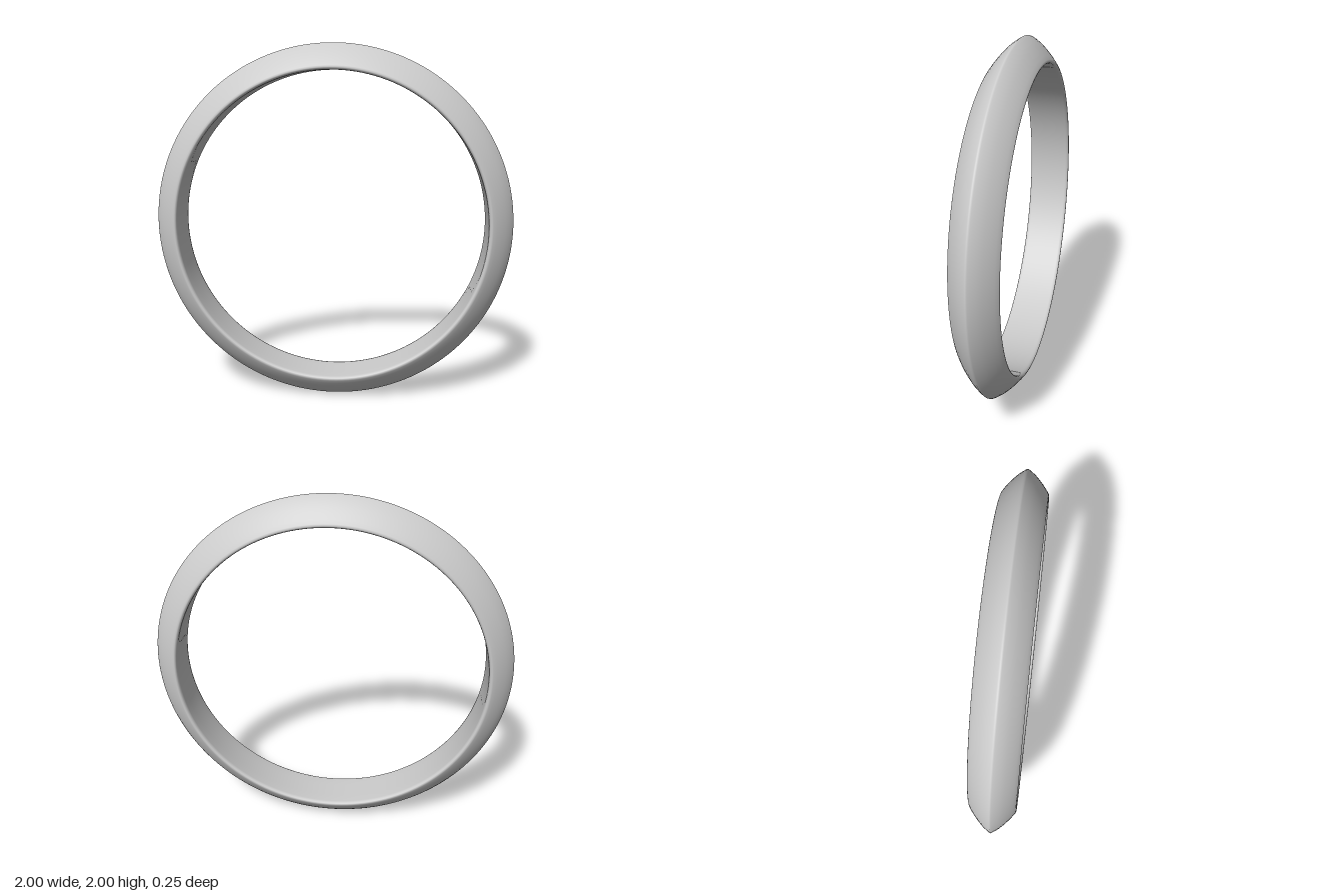
import * as THREE from 'three';

export function createModel() {
  const group = new THREE.Group();

  // Half of the band's cross-section (radius, depth), from the inner face to the outer ridge
  const half = [
    [0.857, 0], [0.857, 0.05], [0.857, 0.105], [0.859, 0.116], [0.864, 0.123],
    [0.871, 0.125], [0.88, 0.122], [0.9, 0.108], [0.925, 0.088], [0.95, 0.065],
    [0.972, 0.042], [0.988, 0.02], [0.996, 0.008], [1, 0],
  ];

  // Mirror it into a closed loop: inner face, back slope, ridge, front slope, inner face
  const back = half.map(([r, d]) => new THREE.Vector2(r, -d));
  const front = half.slice(0, -1).reverse().map(([r, d]) => new THREE.Vector2(r, d));

  // Ring standing upright, its axis along z
  const ring = new THREE.Mesh(
    new THREE.LatheGeometry([...back, ...front], 160).rotateX(Math.PI / 2),
    new THREE.MeshStandardMaterial({ color: 0xcccccc })
  );
  ring.name = 'ringBand';
  ring.position.y = 1;
  group.add(ring);
  return group;
}
